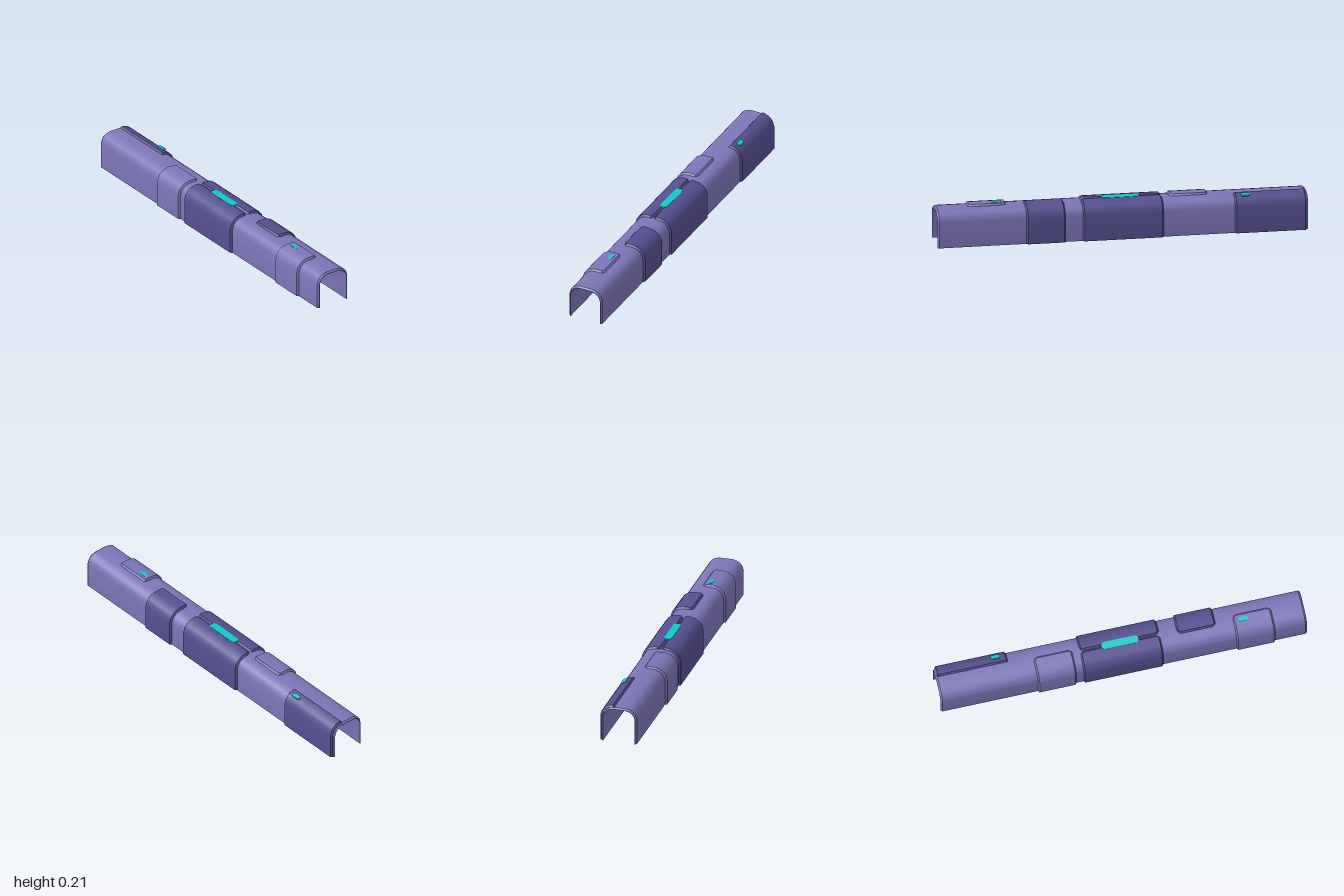
import * as THREE from 'three';
import { toCreasedNormals } from 'three/addons/utils/BufferGeometryUtils.js';

// Half of the arch profile: x, y and outward direction, from foot to crown
const PROFILE = [
  [0.098, 0, 1, 0], [0.098, 0.14, 1, 0.1], [0.091, 0.164, 0.9, 0.45],
  [0.078, 0.181, 0.7, 0.72], [0.061, 0.192, 0.42, 0.9], [0.037, 0.198, 0.15, 1],
];
const TOP = 0.198;
const BEVEL = 0.008;
const side = (off) => PROFILE.map(([x, y, nx, ny]) => [x + nx * off, y + ny * off]);

// Joins rows of { z, outer, inner } into a closed solid; sign -1 mirrors it in x
function loft(rows, sign = 1) {
  const pos = [], index = [];
  const n = rows[0].outer.length, m = 2 * n;
  for (const { z, outer, inner } of rows) {
    for (const [x, y] of [...outer, ...[...inner].reverse()]) pos.push(x * sign, y, z);
  }
  const quad = (a, b, c, d) => {
    if (sign > 0) index.push(a, b, c, a, c, d);
    else index.push(a, c, b, a, d, c);
  };
  for (let j = 0; j < rows.length - 1; j++) {
    for (let i = 0; i < m; i++) {
      const k = (i + 1) % m;
      quad(j * m + i, j * m + k, (j + 1) * m + k, (j + 1) * m + i);
    }
  }
  // End caps between outer and inner lines
  const last = (rows.length - 1) * m;
  for (let i = 0; i < n - 1; i++) {
    quad(last + i, last + i + 1, last + m - 2 - i, last + m - 1 - i);
    quad(m - 1 - i, m - 2 - i, i + 1, i);
  }
  const geo = new THREE.BufferGeometry();
  geo.setAttribute('position', new THREE.Float32BufferAttribute(pos, 3));
  geo.setIndex(index);
  return toCreasedNormals(geo, 0.6);
}

// Full arch with bevelled ends
function shellGeometry() {
  const arch = (off) => {
    const half = side(off);
    return [...half, ...half.map(([x, y]) => [-x, y]).reverse()];
  };
  const row = (z, off) => ({ z, outer: arch(off), inner: arch(-0.01) });
  return loft([row(-1, -0.008), row(-0.99, 0), row(0.99, 0), row(1, -0.008)]);
}

// Raised plate wrapping one side from the foot up to x = edge on the crown
function plateGeometry(z0, z1, edge, sign) {
  const row = (z, lift, corner) => {
    const e = edge + Math.max(0, Math.min(corner, 0.029 - edge));
    return {
      z,
      outer: [...side(lift), [e + BEVEL, TOP + lift], [e, TOP]],
      inner: [...side(-0.004), [e + BEVEL, TOP - 0.004], [e, TOP - 0.004]],
    };
  };
  return loft([
    row(z0, 0, 0.016), row(z0 + BEVEL, 0.01, 0.006), row(z0 + 0.02, 0.01, 0),
    row(z1 - 0.02, 0.01, 0), row(z1 - BEVEL, 0.01, 0.006), row(z1, 0, 0.016),
  ], sign);
}

// Thin capsule-shaped light lying flat along z
function lightGeometry(width, length, depth) {
  const r = width / 2, h = length / 2 - r;
  const s = new THREE.Shape();
  s.absarc(0, h, r, 0, Math.PI, false);
  s.absarc(0, -h, r, Math.PI, Math.PI * 2, false);
  s.closePath();
  return new THREE.ExtrudeGeometry(s, { depth, bevelEnabled: false, curveSegments: 6 }).rotateX(-Math.PI / 2);
}

export function createModel() {
  const group = new THREE.Group();
  const material = (name, color) => {
    const m = new THREE.MeshStandardMaterial({ color });
    m.name = name;
    return m;
  };
  const light = material('light violet', 0x7c75b8);
  const dark = material('dark violet', 0x554f8f);
  const cyan = material('cyan', 0x0fc9c9);

  const add = (name, geo, mat) => {
    const mesh = new THREE.Mesh(geo, mat);
    mesh.name = name;
    group.add(mesh);
    return mesh;
  };

  add('archShell', shellGeometry(), light);

  // Raised plates: name, z range, crown edge, side, colour
  const plates = [
    ['frontLeftPlate', 0.31, 0.52, -0.02, 1, dark],
    ['frontRightPlate', 0.615, 0.825, -0.02, -1, light],
    ['backRightPlate', -0.47, -0.26, -0.02, -1, light],
    ['backLeftPlate', -0.992, -0.605, 0.029, 1, dark],
    ['centreLeftPlate', -0.22, 0.215, 0.002, 1, dark],
    ['centreRightPlate', -0.22, 0.215, 0.002, -1, dark],
  ];
  for (const [name, z0, z1, edge, sign, mat] of plates) {
    add(name, plateGeometry(z0, z1, edge, sign), mat);
  }

  // Indicator lights
  add('centreLight', lightGeometry(0.042, 0.205, 0.009), cyan).position.set(0, 0.2005, 0);
  add('frontLight', lightGeometry(0.024, 0.055, 0.006), cyan).position.set(-0.015, 0.2035, 0.667);
  const backLight = add('backLight', lightGeometry(0.024, 0.052, 0.009), cyan);
  backLight.position.set(0.067, 0.198, -0.665);
  backLight.rotation.z = -0.25;
  return group;
}
